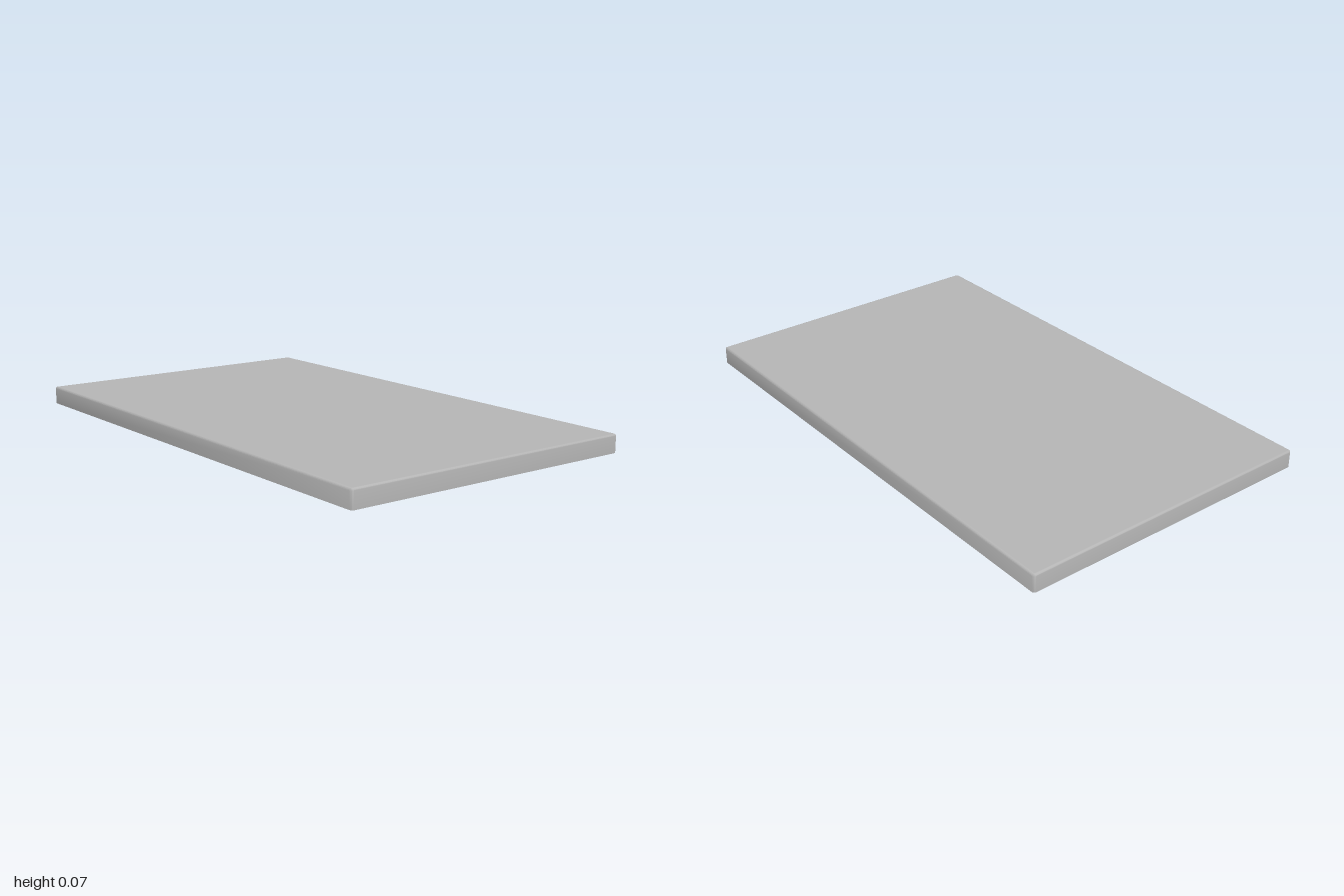
import * as THREE from 'three';
import { toCreasedNormals } from 'three/addons/utils/BufferGeometryUtils.js';

const HALF_X = 1, HALF_Z = 0.605, HEIGHT = 0.07;
const WALL = 0.016, FLOOR_Y = 0.05, POCKET_Y = 0.062;

// Rounded rectangle outline, inset from the outer edge
function outline(inset, steps = 4) {
  const r = Math.max(0.01 - inset, 0.002);
  const cx = HALF_X - inset - r, cz = HALF_Z - inset - r;
  const points = [];
  [[1, 1], [-1, 1], [-1, -1], [1, -1]].forEach(([sx, sz], corner) => {
    for (let i = 0; i <= steps; i++) {
      const a = (corner + i / steps) * Math.PI / 2;
      points.push(new THREE.Vector2(sx * cx + r * Math.cos(a), sz * cz + r * Math.sin(a)));
    }
  });
  return points;
}

// Sweep an [inset, y] profile around the outline
function loft(profile) {
  const rings = profile.map(([inset, y]) => outline(inset).map(p => [p.x, y, p.y]));
  const pos = [];
  for (let i = 0; i < rings.length - 1; i++) {
    const lower = rings[i], upper = rings[i + 1], n = lower.length;
    for (let j = 0; j < n; j++) {
      const k = (j + 1) % n;
      pos.push(...lower[j], ...upper[j], ...lower[k], ...lower[k], ...upper[j], ...upper[k]);
    }
  }
  const g = new THREE.BufferGeometry();
  g.setAttribute('position', new THREE.Float32BufferAttribute(pos, 3));
  return toCreasedNormals(g, 0.6);
}

function hexagon(x, z, r) {
  const path = new THREE.Path();
  const points = [];
  for (let i = 0; i < 6; i++) {
    const a = Math.PI / 6 + i * Math.PI / 3;
    points.push(new THREE.Vector2(x + r * Math.cos(a), z + r * Math.sin(a)));
  }
  return path.setFromPoints([...points, points[0]]);
}

export function createModel() {
  const group = new THREE.Group();
  const grey = new THREE.MeshStandardMaterial({ color: 0xb4b4b4 });
  grey.name = 'plain grey';
  const add = (name, geometry, x = 0, y = 0, z = 0) => {
    const mesh = new THREE.Mesh(geometry, grey);
    mesh.name = name;
    mesh.position.set(x, y, z);
    group.add(mesh);
    return mesh;
  };

  // Skirt walls with a rounded top edge
  const fillet = 0.008;
  const profile = [[WALL, POCKET_Y], [WALL, 0], [0, 0]];
  for (let i = 0; i <= 4; i++) {
    const a = i / 4 * Math.PI / 2;
    profile.push([fillet * (1 - Math.cos(a)), HEIGHT - fillet * (1 - Math.sin(a))]);
  }
  add('skirtWalls', loft(profile));

  // Flat top
  add('topPanel', new THREE.ShapeGeometry(new THREE.Shape(outline(fillet))).rotateX(-Math.PI / 2), 0, HEIGHT, 0);

  // Underside plate with staggered hexagonal pockets
  const plate = new THREE.Shape(outline(WALL));
  const pitch = 0.155, rows = 7;
  for (let row = 0; row < rows; row++) {
    const count = row % 2 ? 10 : 11;
    for (let i = 0; i < count; i++) {
      plate.holes.push(hexagon((i - (count - 1) / 2) * pitch, (row - (rows - 1) / 2) * pitch * 0.866, 0.075));
    }
  }
  const honeycomb = new THREE.ExtrudeGeometry(plate, { depth: POCKET_Y - FLOOR_Y, bevelEnabled: false });
  add('honeycombPlate', honeycomb.rotateX(Math.PI / 2), 0, POCKET_Y, 0);
  add('pocketFloor', new THREE.PlaneGeometry(2 * (HALF_X - WALL), 2 * (HALF_Z - WALL)).rotateX(Math.PI / 2), 0, POCKET_Y, 0);

  // Small snap bumps inside the long walls
  for (const side of [-1, 1]) {
    for (const x of [-0.74, 0, 0.74]) {
      add('snapBump', new THREE.SphereGeometry(0.011, 16, 10), x, 0.014, side * (HALF_Z - WALL));
    }
  }
  return group;
}
